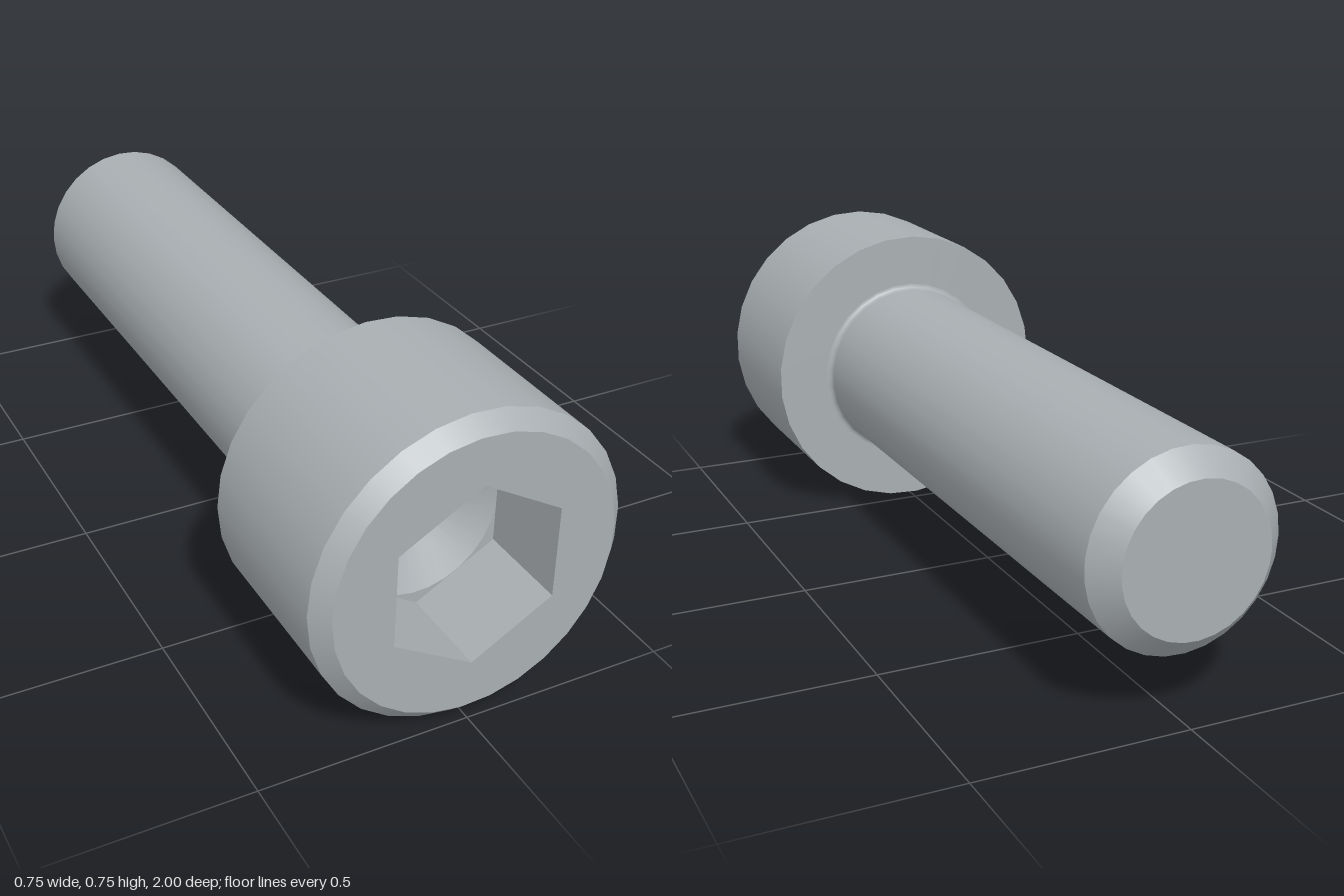
import * as THREE from 'three';

const SEGMENTS = 29;
const AXIS_HEIGHT = 0.375;
const HEAD_BACK = 0.54;
const SOCKET_FLOOR = 0.773;
const FACE_RADIUS = 0.338;
const HEX_RADIUS = 0.223;
const DRILL_RADIUS = 0.193;

// Regular polygon outline, start angle measured from +x
function ring(radius, sides, start) {
  return Array.from({ length: sides }, (_, i) => {
    const a = start + (i / sides) * Math.PI * 2;
    return new THREE.Vector2(radius * Math.cos(a), radius * Math.sin(a));
  });
}

// Flat plate facing +z with a hole
function plate(outer, hole, z) {
  const shape = new THREE.Shape(outer);
  shape.holes.push(new THREE.Path(hole));
  return new THREE.ShapeGeometry(shape).translate(0, 0, z);
}

// Turned surface along z from [radius, z] pairs
function turned(profile, sides = SEGMENTS, start = -Math.PI / 2) {
  const points = profile.map(([r, z]) => new THREE.Vector2(r, z));
  return new THREE.LatheGeometry(points, sides, start).rotateX(Math.PI / 2);
}

export function createModel() {
  const bolt = new THREE.Group();
  bolt.name = 'socketHeadBolt';
  const steel = new THREE.MeshStandardMaterial({ color: 0xa9afb2 });
  steel.name = 'steelGrey';

  const add = (name, geometry) => {
    const mesh = new THREE.Mesh(geometry, steel);
    mesh.name = name;
    mesh.position.y = AXIS_HEIGHT;
    bolt.add(mesh);
  };

  // Shank with chamfered tip and a small fillet under the head
  add('tipFace', turned([[0, -1], [0.175, -1]]));
  add('tipChamfer', turned([[0.175, -1], [0.2285, -0.945]]));
  add('shank', turned([[0.2285, -0.945], [0.2285, HEAD_BACK - 0.014]]));
  const fillet = [];
  for (let i = 0; i <= 5; i++) {
    const a = (i / 5) * Math.PI / 2;
    fillet.push([0.2425 - 0.014 * Math.cos(a), HEAD_BACK - 0.014 + 0.014 * Math.sin(a)]);
  }
  add('shankFillet', turned(fillet));

  // Head
  add('headUnderside', turned([[0.2425, HEAD_BACK], [0.375, HEAD_BACK]]));
  add('headSide', turned([[0.375, HEAD_BACK], [0.375, 0.963]]));
  add('headChamfer', turned([[0.375, 0.963], [FACE_RADIUS, 1]]));
  const hexagon = ring(HEX_RADIUS, 6, Math.PI / 2);
  add('headFace', plate(ring(FACE_RADIUS, SEGMENTS, Math.PI), hexagon, 1));

  // Hexagonal socket with a drilled conical bottom
  const walls = turned([[HEX_RADIUS, 1], [HEX_RADIUS, SOCKET_FLOOR]], 6, 0).toNonIndexed();
  walls.computeVertexNormals();
  add('socketWalls', walls);
  add('socketFloor', plate(hexagon, ring(DRILL_RADIUS, SEGMENTS, Math.PI), SOCKET_FLOOR));
  add('socketCone', turned([[DRILL_RADIUS, SOCKET_FLOOR], [0, SOCKET_FLOOR - 0.11]]));

  return bolt;
}
